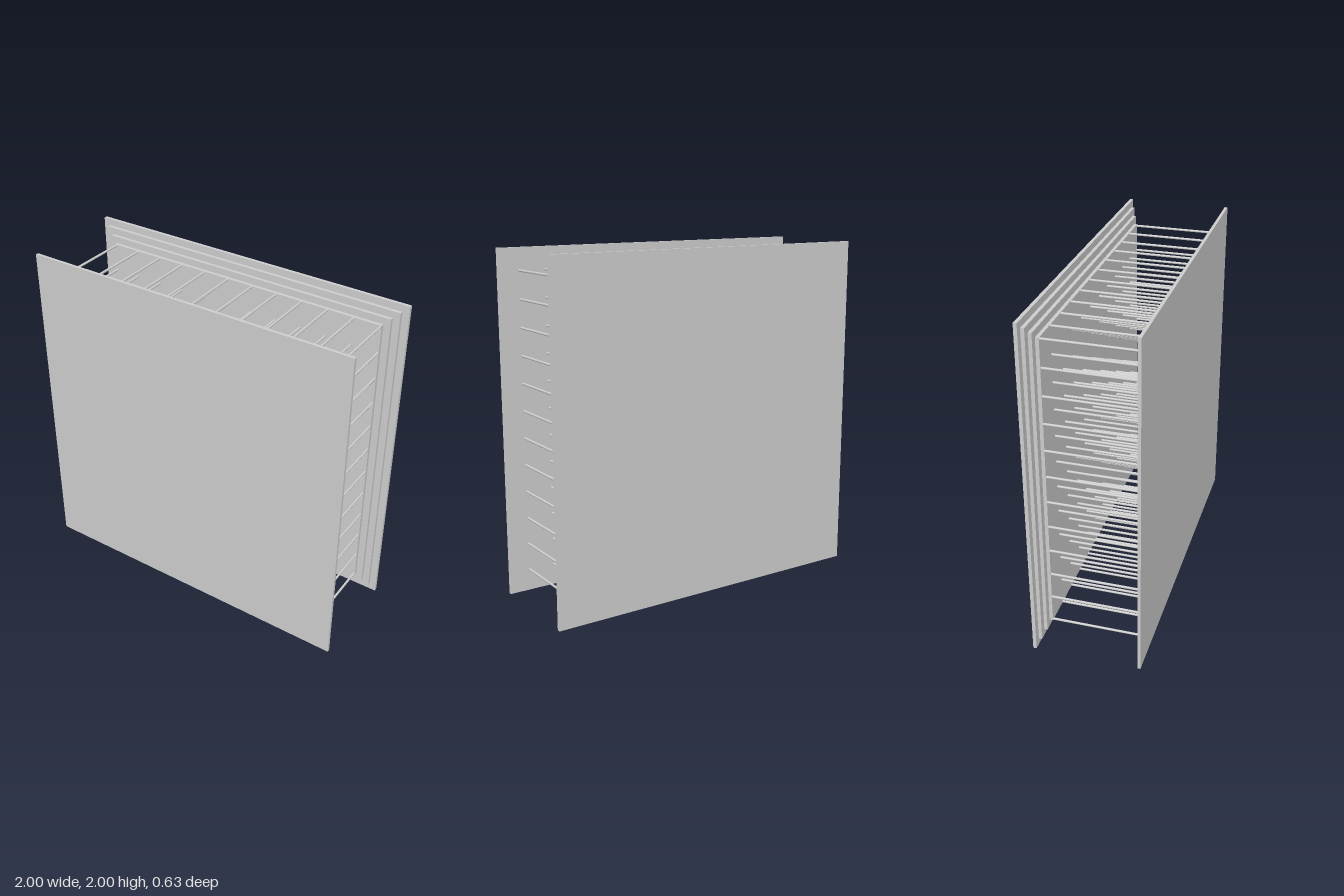
import * as THREE from 'three';

export function createModel() {
  const model = new THREE.Group();
  const material = new THREE.MeshStandardMaterial({ color: 0xcccccc });

  // Square panel centred on x = 0, y = 1, spanning zBack to zFront
  function addPanel(name, size, zBack, zFront) {
    const mesh = new THREE.Mesh(new THREE.BoxGeometry(size, size, zFront - zBack), material);
    mesh.name = name;
    mesh.position.set(0, 1, (zBack + zFront) / 2);
    model.add(mesh);
  }

  addPanel('frontPanel', 2, 0.296, 0.314);

  // Back panel with three smaller panels stepped in front of it
  const layer = 0.02;
  for (let i = 0; i < 4; i++) {
    const z = -0.314 + i * layer;
    addPanel(i === 0 ? 'backPanel' : `backStep${i}`, 2 - i * 0.08, z, z + layer);
  }

  // Grid of thin round rods joining the two sides
  const rods = new THREE.Group();
  rods.name = 'rods';
  const count = 12, reach = 0.873, zBack = -0.236, zFront = 0.298;
  const rodGeometry = new THREE.CylinderGeometry(0.007, 0.007, zFront - zBack, 12);
  rodGeometry.rotateX(Math.PI / 2);
  const along = (i) => -reach + (2 * reach * i) / (count - 1);
  for (let row = 0; row < count; row++) {
    for (let col = 0; col < count; col++) {
      const rod = new THREE.Mesh(rodGeometry, material);
      rod.name = 'rod';
      rod.position.set(along(col), 1 + along(row), (zBack + zFront) / 2);
      rods.add(rod);
    }
  }
  model.add(rods);

  return model;
}
